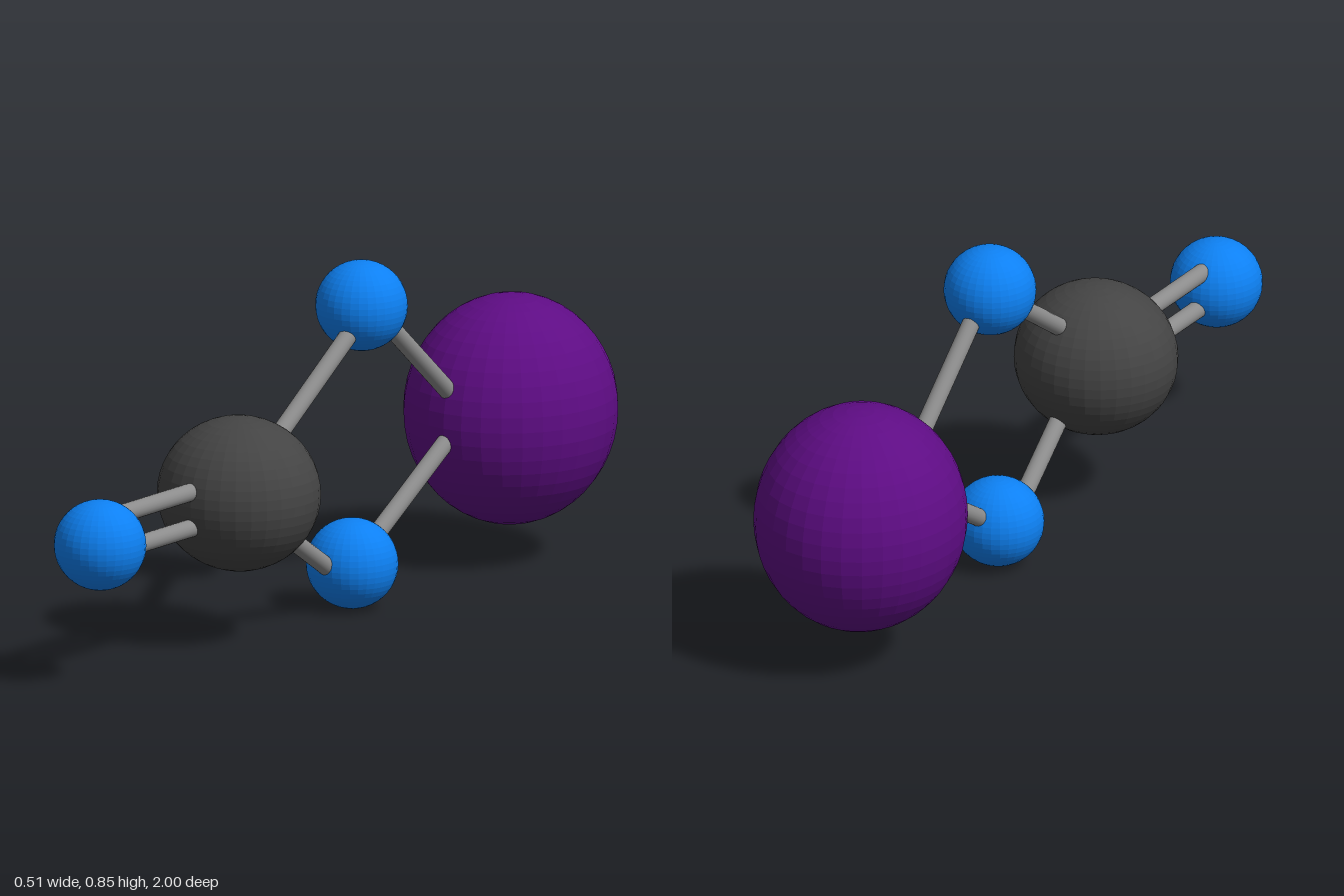
import * as THREE from 'three';

export function createModel() {
  const model = new THREE.Group();
  const mat = (color) => new THREE.MeshStandardMaterial({ color, flatShading: true });
  const blue = mat(0x0d80f2), charcoal = mat(0x444444), purple = mat(0x5e0c84);
  const rodMat = new THREE.MeshStandardMaterial({ color: 0x8c8c8c });

  // Atoms: slightly uneven faceted balls
  const ballGeo = new THREE.SphereGeometry(1, 32, 24);
  const ball = (name, material, position, radii) => {
    const mesh = new THREE.Mesh(ballGeo, material);
    mesh.name = name;
    mesh.position.set(...position);
    mesh.scale.set(...radii);
    model.add(mesh);
  };
  const small = [0.112, 0.11, 0.11];
  ball('largeAtom', purple, [0, 0.371, -0.733], [0.254, 0.281, 0.267]);
  ball('centreAtom', charcoal, [-0.002, 0.369, 0.34], [0.2, 0.188, 0.192]);
  ball('frontAtom', blue, [-0.002, 0.348, 0.89], small);
  ball('upperAtom', blue, [-0.002, 0.739, -0.145], small);
  ball('lowerAtom', blue, [0, 0.11, -0.105], small);

  // Bonds: thin rods whose ends sink into the atoms
  const up = new THREE.Vector3(0, 1, 0);
  const rod = (name, from, to) => {
    const a = new THREE.Vector3(...from), b = new THREE.Vector3(...to);
    const dir = b.clone().sub(a);
    const mesh = new THREE.Mesh(new THREE.CylinderGeometry(0.022, 0.022, dir.length(), 20), rodMat);
    mesh.name = name;
    mesh.position.copy(a).add(b).multiplyScalar(0.5);
    mesh.quaternion.setFromUnitVectors(up, dir.normalize());
    model.add(mesh);
  };
  rod('doubleBondUpper', [-0.01, 0.405, 0.45], [-0.01, 0.405, 0.83]);
  rod('doubleBondLower', [-0.01, 0.316, 0.45], [-0.01, 0.316, 0.83]);
  rod('centreToUpperBond', [0.02, 0.475, 0.235], [0.02, 0.692, -0.077]);
  rod('centreToLowerBond', [0.022, 0.27, 0.235], [-0.004, 0.112, -0.02]);
  rod('upperToLargeBond', [-0.005, 0.7, -0.22], [-0.005, 0.425, -0.53]);
  rod('lowerToLargeBond', [-0.003, 0.145, -0.18], [-0.003, 0.355, -0.51]);

  return model;
}
